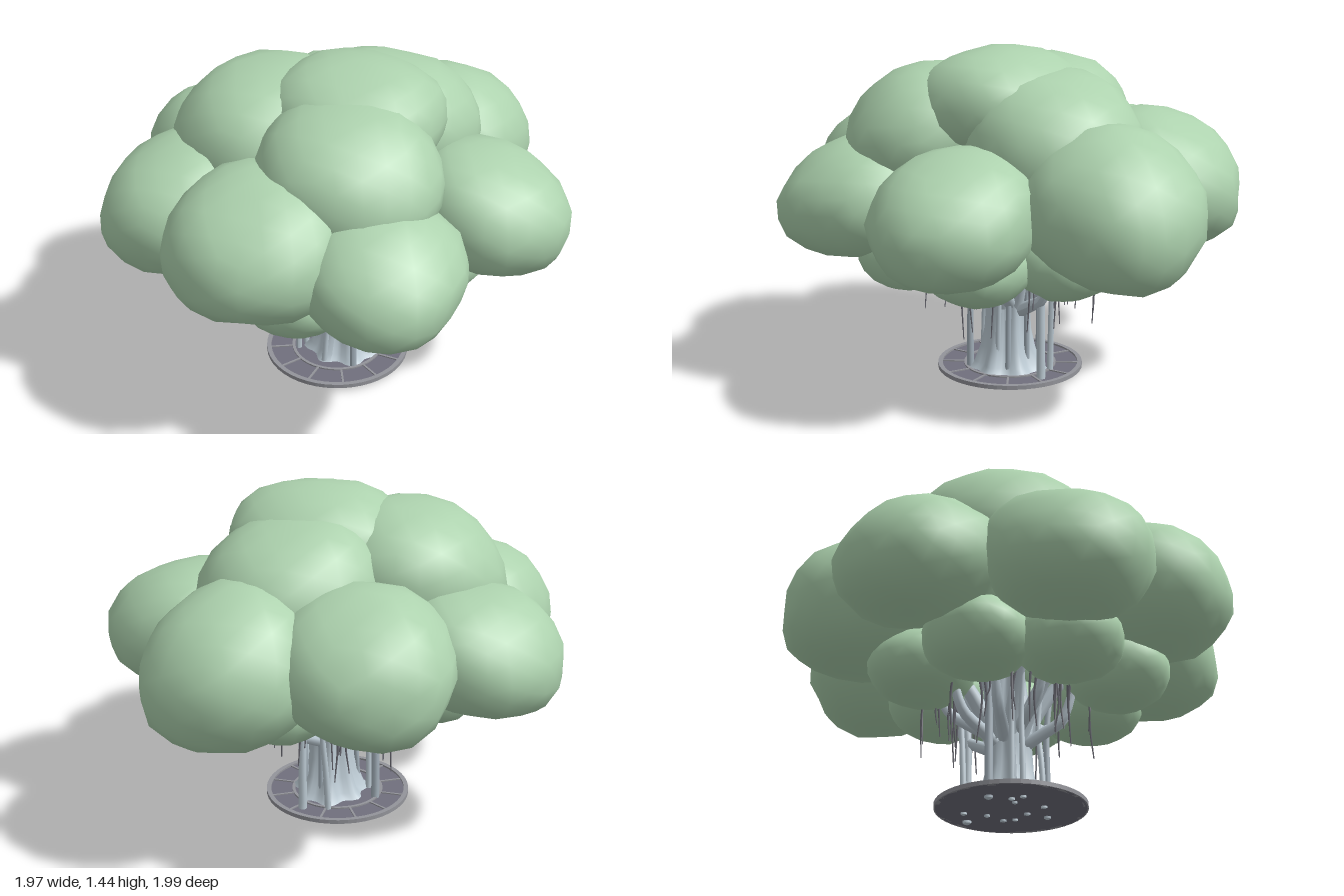
import * as THREE from 'three';
import { mergeVertices } from 'three/addons/utils/BufferGeometryUtils.js';

const mat = (name, color) => new THREE.MeshStandardMaterial({ name, color });

export function createModel() {
  const leaf = mat('leaf green', 0xadd2ae);
  const bark = mat('pale bark', 0xbccad3);
  const root = mat('grey root', 0xa3b0ba);
  const twig = mat('dark root', 0x6a6a73);
  const iron = mat('dark iron', 0x706f7d);
  const rim = mat('grey rim', 0x93949a);

  let seed = 11;
  const rnd = () => (seed = (seed * 16807) % 2147483647) / 2147483647;

  const tree = new THREE.Group();
  tree.name = 'tree';
  const group = (name) => {
    const g = new THREE.Group();
    g.name = name;
    tree.add(g);
    return g;
  };
  const add = (parent, name, geometry, material, x = 0, y = 0, z = 0) => {
    const m = new THREE.Mesh(geometry, material);
    m.name = name;
    m.position.set(x, y, z);
    parent.add(m);
    return m;
  };

  // Lumpy ball with smooth normals, its outer side drooping by a slope [sx, sz]
  function clump(rx, ry, rz, phase, sx, sz) {
    let g = new THREE.IcosahedronGeometry(1, 3);
    g.deleteAttribute('uv');
    g.deleteAttribute('normal');
    g = mergeVertices(g, 1e-4);
    const p = g.attributes.position, v = new THREE.Vector3();
    for (let i = 0; i < p.count; i++) {
      v.fromBufferAttribute(p, i).normalize();
      const n = Math.sin(v.x * 4.1 + phase) * Math.sin(v.y * 3.7 + phase * 2.3)
        + Math.sin(v.z * 4.6 + phase * 1.7) * Math.cos(v.x * 3.3 - phase);
      const e = 2.1;
      const sq = (Math.abs(v.x) ** e + Math.abs(v.y) ** e + Math.abs(v.z) ** e) ** (-1 / e);
      v.multiplyScalar(sq * (0.995 + 0.025 * n + 0.035 * (rnd() - 0.5)));
      const x = v.x * rx, z = v.z * rz;
      p.setXYZ(i, x, v.y * ry - x * sx - z * sz, z);
    }
    g.computeVertexNormals();
    return g;
  }

  // Canopy: outer ring, upper ring and crown as [x, y, z, rx, ry, rz]
  const canopy = group('canopy');
  [
    [-0.25, 0.88, -0.54, 0.37, 0.30, 0.37],
    [0.26, 0.86, -0.63, 0.36, 0.32, 0.37],
    [-0.64, 0.85, -0.18, 0.35, 0.26, 0.35],
    [0.63, 0.83, -0.12, 0.35, 0.26, 0.33],
    [-0.53, 0.85, 0.40, 0.34, 0.28, 0.35],
    [-0.06, 0.89, 0.63, 0.38, 0.28, 0.36],
    [0.41, 0.81, 0.50, 0.34, 0.26, 0.35],
    [0.12, 1.07, -0.28, 0.39, 0.29, 0.37],
    [-0.32, 1.08, 0.07, 0.38, 0.30, 0.41],
    [0.18, 1.09, 0.30, 0.39, 0.28, 0.36],
    [0.08, 1.21, 0.01, 0.39, 0.23, 0.36],
  ].forEach(([x, y, z, rx, ry, rz], i) => {
    const k = i < 10 ? 0.14 / Math.hypot(x, z) : 0;
    add(canopy, 'leafClump', clump(rx, ry, rz, i * 1.9 + 0.6, x * k, z * k), leaf, x, y, z);
  });

  // Smaller clumps under the canopy
  for (let i = 0; i < 7; i++) {
    const a = (i / 7 + 85 / 360) * Math.PI * 2, c = Math.cos(a), s = Math.sin(a);
    add(canopy, 'lowerLeafClump', clump(0.23, 0.165, 0.23, i * 2.7, 0, 0), leaf,
      c * 0.42, 0.59 - 0.012 * c, s * 0.42 + 0.055);
  }

  // Trunk: flared profile with buttress ridges
  const trunkGeo = new THREE.LatheGeometry([
    [0.17, 0.02], [0.14, 0.05], [0.115, 0.12], [0.098, 0.2], [0.092, 0.3], [0.105, 0.38], [0.085, 0.48], [0.06, 0.65],
  ].map(([r, y]) => new THREE.Vector2(r, y)), 40);
  const tp = trunkGeo.attributes.position;
  for (let i = 0; i < tp.count; i++) {
    const x = tp.getX(i), z = tp.getZ(i), a = Math.atan2(z, x);
    const k = 0.95 + 0.1 * Math.cos(a * 7) + 0.04 * Math.sin(a * 3);
    tp.setX(i, x * k);
    tp.setZ(i, z * k);
  }
  trunkGeo.computeVertexNormals();
  add(tree, 'trunk', trunkGeo, bark, 0.03, 0, 0.01);

  // Tapered tube through points
  function limb(points, r0, r1, sides = 8) {
    const curve = new THREE.CatmullRomCurve3(points.map((q) => new THREE.Vector3(...q)));
    const n = 10, g = new THREE.TubeGeometry(curve, n, 1, sides, false);
    const p = g.attributes.position, v = new THREE.Vector3();
    for (let i = 0; i < p.count; i++) {
      const t = Math.floor(i / (sides + 1)) / n, c = curve.getPointAt(t);
      v.fromBufferAttribute(p, i).sub(c).multiplyScalar(r0 + (r1 - r0) * t).add(c);
      p.setXYZ(i, v.x, v.y, v.z);
    }
    g.computeVertexNormals();
    return g;
  }

  // Branches: low spreading ones and steep inner ones
  const branches = group('branches');
  branches.position.x = 0.02;
  for (let i = 0; i < 9; i++) {
    const a = (i / 9) * Math.PI * 2 + 0.25, c = Math.cos(a), s = Math.sin(a);
    const d = 0.03 * Math.sin(i * 2.4);
    add(branches, 'lowBranch', limb([
      [0.07 * c, 0.32 + d, 0.07 * s], [0.15 * c, 0.36 + d, 0.15 * s],
      [0.24 * c, 0.415 + d, 0.24 * s], [0.3 * c, 0.54, 0.3 * s],
    ], 0.03, 0.017), bark);
    const b = a + 0.3, cb = Math.cos(b), sb = Math.sin(b);
    add(branches, 'innerBranch', limb([
      [0.06 * cb, 0.32, 0.06 * sb], [0.12 * cb, 0.44, 0.12 * sb],
      [0.2 * cb, 0.56, 0.2 * sb], [0.34 * cb, 0.74, 0.34 * sb],
    ], 0.038, 0.022), bark);
  }

  // Prop roots from canopy to ground as [x, z, radius, lean]
  const props = group('propRoots');
  [
    [0.10, -0.20, 0.018, 0], [0.123, -0.048, 0.012, 0.01], [0.126, 0.003, 0.011, 0.02],
    [0.044, -0.095, 0.012, 0], [-0.01, -0.18, 0.013, 0.02], [0.066, 0.071, 0.012, 0.03],
    [0, 0.16, 0.012, 0.03], [-0.087, 0.06, 0.011, 0.02], [-0.134, 0.06, 0.012, 0],
    [-0.184, -0.022, 0.017, 0], [-0.147, 0.112, 0.012, 0.01], [0.134, 0.14, 0.014, 0],
  ].forEach(([x, z, r, lean], i) => {
    add(props, 'propRoot', limb([
      [x, 0.004, z], [x + lean * 0.4, 0.2, z - lean * 0.4], [x + lean, 0.38, z - lean], [x * 1.1 + lean, 0.56, z * 1.1 - lean],
    ], r * 1.1, r * 0.9), i % 2 ? root : bark);
    add(props, 'rootFoot', new THREE.SphereGeometry(r * 1.1, 8, 6), bark, x, 0.012, z).scale.y = 0.7;
  });

  // Thin hanging roots
  const hanging = group('hangingRoots');
  for (let i = 0; i < 34; i++) {
    const a = rnd() * Math.PI * 2, r = 0.23 + 0.14 * rnd();
    const x = Math.cos(a) * r + 0.02, z = Math.sin(a) * r + 0.01;
    const bottom = 0.22 + 0.17 * rnd(), j = () => (rnd() - 0.5) * 0.025;
    add(hanging, 'hangingRoot', limb([
      [x, 0.52, z], [x + j(), 0.43, z + j()], [x + j(), bottom, z + j()],
    ], 0.006, 0.0025, 4), twig);
  }

  // Round ground grate: plate, rings and radial bars
  const grate = group('grate');
  grate.position.z = 0.02;
  add(grate, 'plate', new THREE.CylinderGeometry(0.312, 0.312, 0.01, 48), iron, 0, 0.019, 0);
  const ring = (name, inner, outer, y0, y1) => {
    const pts = [[inner, y0], [outer, y0], [outer, y1], [inner, y1], [inner, y0]];
    const g = new THREE.LatheGeometry(pts.map((q) => new THREE.Vector2(...q)), 48).toNonIndexed();
    g.computeVertexNormals();
    add(grate, name, g, rim);
  };
  ring('outerRim', 0.298, 0.318, 0.014, 0.032);
  ring('innerRim', 0.19, 0.203, 0.022, 0.03);
  for (let i = 0; i < 12; i++) {
    const a = (i / 12) * Math.PI * 2;
    const bar = add(grate, 'radialBar', new THREE.BoxGeometry(0.1, 0.006, 0.009), rim,
      Math.cos(a) * 0.25, 0.026, -Math.sin(a) * 0.25);
    bar.rotation.y = a;
  }
  return tree;
}
